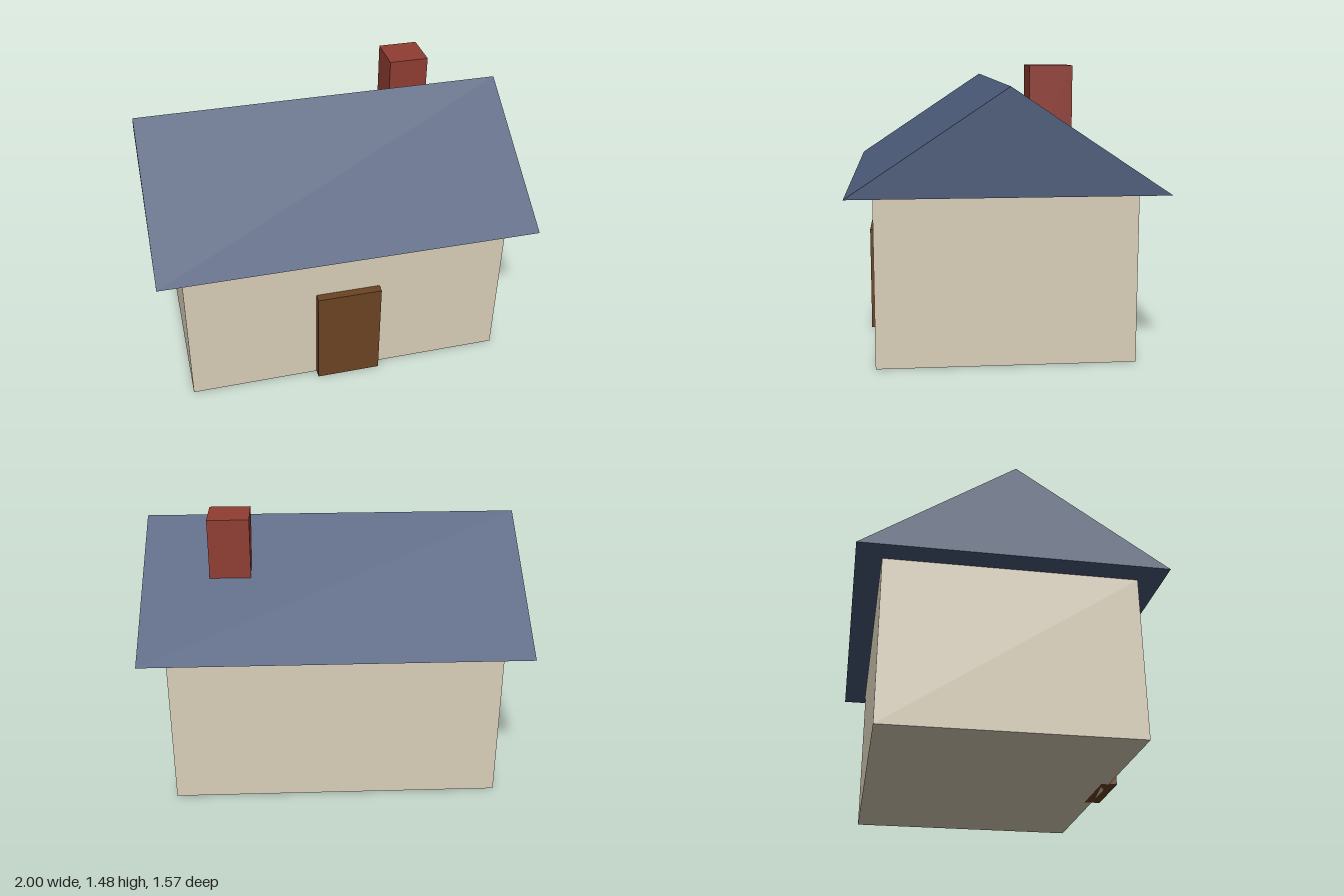
import * as THREE from 'three';

export function createModel() {
  const house = new THREE.Group();
  house.name = 'house';

  const add = (name, geometry, color, x, y, z) => {
    const material = new THREE.MeshStandardMaterial({ color });
    const mesh = new THREE.Mesh(geometry, material);
    mesh.name = name;
    mesh.position.set(x, y, z);
    house.add(mesh);
  };

  // Box placed by its base height
  const addBox = (name, color, [w, h, d], x, base, z) =>
    add(name, new THREE.BoxGeometry(w, h, d), color, x, base + h / 2, z);

  const wallHeight = 0.87;
  addBox('walls', 0xd9ceb8, [1.74, wallHeight, 1.304], 0, 0, 0);

  // Solid gable roof: triangle extruded along x, overhanging all walls
  const gable = new THREE.Shape([
    new THREE.Vector2(-0.783, 0),
    new THREE.Vector2(0.783, 0),
    new THREE.Vector2(0, 0.522),
  ]);
  const roof = new THREE.ExtrudeGeometry(gable, { depth: 2, bevelEnabled: false });
  roof.translate(0, 0, -1).rotateY(Math.PI / 2);
  add('roof', roof, 0x4a5a78, 0, wallHeight, 0);

  // Door set into the front wall
  addBox('door', 0x6b4423, [0.348, 0.565, 0.087], 0, 0, 0.654);

  // Chimney rising from the back slope
  addBox('chimney', 0x8f3d32, [0.217, 0.435, 0.217], 0.543, 1.045, -0.239);

  return house;
}
